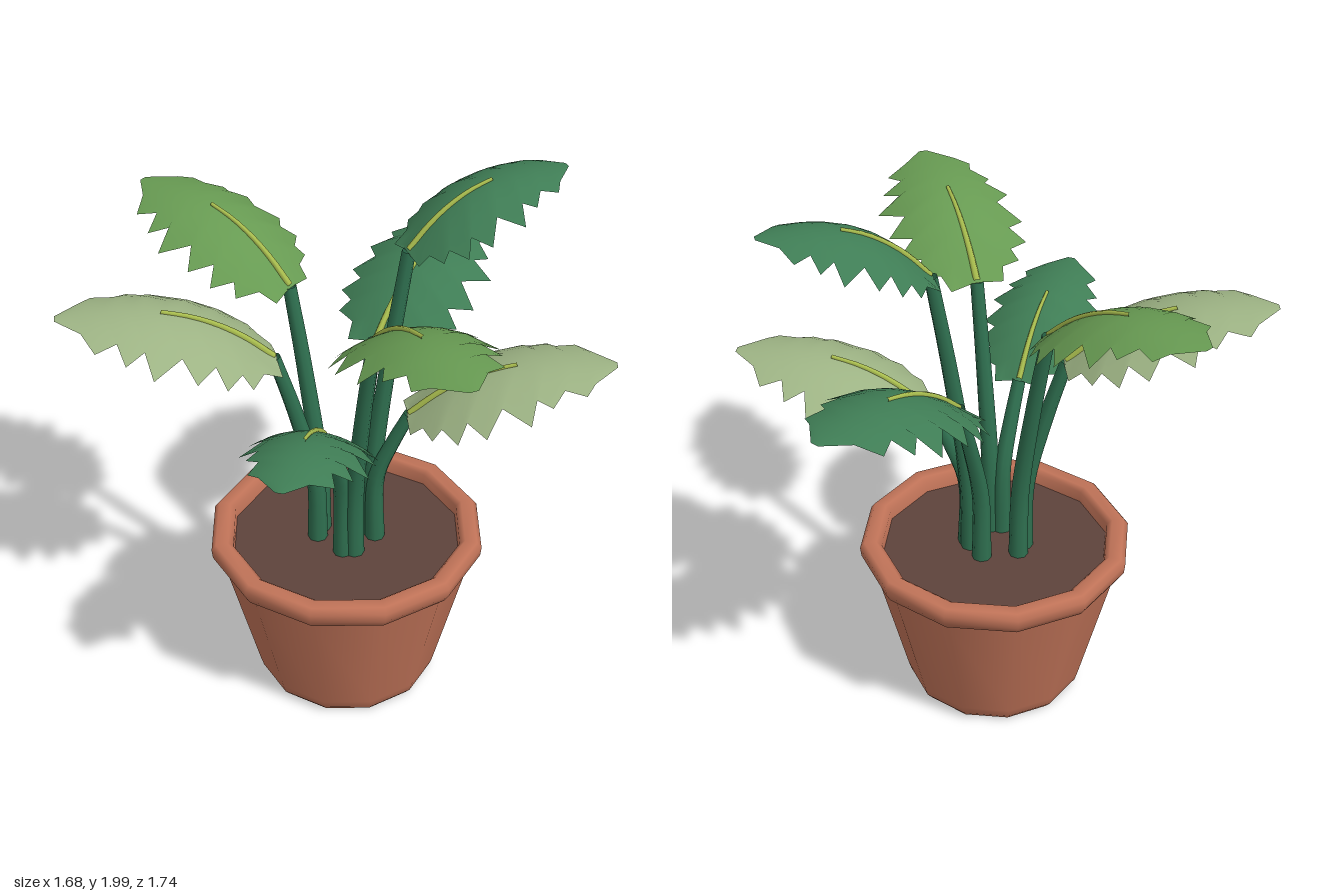
import * as THREE from 'three';

const mat = (name, color, side = THREE.FrontSide) => {
  const m = new THREE.MeshStandardMaterial({ color, side });
  m.name = name;
  return m;
};

const LEN = 0.67; // leaf length before scaling

// Height of the leaf surface: arches along its length, droops to both sides
function leafHeight(t, s) {
  const u = Math.max(t, 0) / LEN;
  return 0.245 * (1 - (1 - u) ** 3) - 0.03 * u * u - 1.5 * s * s;
}

// Jagged outline of each half as [along, sideways], alternating teeth and notches
const rightEdge = [[-0.01, 0.02], [-0.02, 0.1], [0.04, 0.12], [0.08, 0.2], [0.11, 0.17], [0.16, 0.24],
  [0.19, 0.18], [0.25, 0.25], [0.29, 0.18], [0.38, 0.255], [0.4, 0.17], [0.46, 0.215],
  [0.48, 0.14], [0.55, 0.17], [0.59, 0.09], [0.67, 0.015]];
const leftEdge = [[-0.01, 0.02], [0, 0.1], [0.04, 0.11], [0.07, 0.18], [0.1, 0.16], [0.15, 0.235],
  [0.18, 0.18], [0.24, 0.25], [0.29, 0.17], [0.38, 0.24], [0.4, 0.16], [0.45, 0.19],
  [0.49, 0.13], [0.56, 0.15], [0.59, 0.1], [0.67, 0.015]];

// Leaf blade: rows of points from the left edge across the midrib to the right edge
function leafGeometry() {
  const half = 5, cols = half * 2 + 1, rows = rightEdge.length;
  const pos = [], index = [];
  for (let i = 0; i < rows; i++) {
    const mid = -0.01 + (LEN + 0.01) * i / (rows - 1);
    for (let j = -half; j <= half; j++) {
      const f = Math.abs(j) / half;
      const [te, se] = (j < 0 ? leftEdge : rightEdge)[i];
      const t = THREE.MathUtils.lerp(mid, te, f), s = Math.sign(j) * se * f;
      pos.push(s, leafHeight(t, s), t);
      if (i < rows - 1 && j < half) {
        const a = i * cols + j + half, b = a + cols;
        index.push(a, b, a + 1, a + 1, b, b + 1);
      }
    }
  }
  const g = new THREE.BufferGeometry();
  g.setAttribute('position', new THREE.Float32BufferAttribute(pos, 3));
  g.setIndex(index);
  g.computeVertexNormals();
  return g;
}

// Tube whose radius shrinks from r0 to r1
function taperedTube(points, r0, r1, segments, sides) {
  const curve = new THREE.CatmullRomCurve3(points);
  const g = new THREE.TubeGeometry(curve, segments, r0, sides);
  const p = g.attributes.position, v = new THREE.Vector3();
  for (let k = 0; k < p.count; k++) {
    const u = Math.floor(k / (sides + 1)) / segments;
    const c = curve.getPointAt(u);
    v.fromBufferAttribute(p, k).sub(c).multiplyScalar(1 + (r1 / r0 - 1) * u).add(c);
    p.setXYZ(k, v.x, v.y, v.z);
  }
  return g;
}

export function createModel() {
  const model = new THREE.Group();
  const terracotta = mat('terracotta', 0xc07358);
  const soilMat = mat('soil', 0x5e433c);
  const stemMat = mat('stem green', 0x2f7050, THREE.DoubleSide);
  const ribMat = mat('rib yellow green', 0xa9bd4e);
  const dark = mat('dark leaf', 0x3f7d55, THREE.DoubleSide);
  const medium = mat('medium leaf', 0x679a52, THREE.DoubleSide);
  const pale = mat('pale leaf', 0x9db384, THREE.DoubleSide);

  const add = (parent, name, geometry, material) => {
    const mesh = new THREE.Mesh(geometry, material);
    mesh.name = name;
    parent.add(mesh);
    return mesh;
  };

  // Pot: twelve-sided body and thick rim, with soil inside
  const pot = new THREE.Group();
  pot.name = 'pot';
  pot.position.set(-0.07, 0, 0.01);
  model.add(pot);
  const lathe = (pts) => new THREE.LatheGeometry(pts.map(([r, y]) => new THREE.Vector2(r, y)), 12);
  add(pot, 'potBody', lathe([[0.315, 0], [0.335, 0.025], [0.345, 0.06], [0.465, 0.55], [0.47, 0.6]]), terracotta);
  add(pot, 'potRim', lathe([[0.465, 0.57], [0.49, 0.575], [0.508, 0.605], [0.512, 0.64],
    [0.495, 0.662], [0.45, 0.662], [0.43, 0.645], [0.425, 0.59]]), terracotta);
  add(pot, 'potBase', new THREE.CircleGeometry(0.316, 12, Math.PI / 2).rotateX(Math.PI / 2), terracotta);
  add(pot, 'soil', new THREE.CircleGeometry(0.45, 12, Math.PI / 2).rotateX(-Math.PI / 2), soilMat).position.y = 0.605;

  // Shared blade and midrib
  const blade = leafGeometry();
  const ribPoints = [0, 0.08, 0.16, 0.25, 0.345].map((t) => new THREE.Vector3(0, leafHeight(t, 0) + 0.004, t));
  const rib = taperedTube(ribPoints, 0.013, 0.007, 10, 6);

  // Each plant stalk: foot [x, z], leaf start [x, y, z], leaf tip [x, z], colour
  const stalks = [
    ['backLeaf', [-0.1, -0.09], [-0.11, 1.6, -0.22], [-0.2, -0.87], medium],
    ['frontLeaf', [-0.12, 0.1], [-0.16, 1.6, 0.23], [-0.4, 0.86], medium],
    ['backRightLeaf', [-0.15, -0.06], [-0.26, 1.41, -0.15], [-0.83, -0.6], pale],
    ['frontRightLeaf', [-0.15, 0.07], [-0.27, 1.2, 0.12], [-0.78, 0.42], dark],
    ['leftLeaf', [0.02, -0.02], [0.15, 1.33, -0.055], [0.83, -0.2], dark],
    ['tallLeftLeaf', [0.01, 0.06], [0.135, 1.77, 0.11], [0.66, 0.35], dark],
    ['frontLeftLeaf', [0.0, 0.09], [0.08, 1.16, 0.18], [0.57, 0.7], pale],
  ];
  for (const [name, [fx, fz], [x, y, z], [tx, tz], colour] of stalks) {
    const stalk = new THREE.Group();
    stalk.name = name;
    model.add(stalk);

    // Stem rises straight, then leans out to the leaf
    const bend = (f, h) => new THREE.Vector3(fx + (x - fx) * f, h, fz + (z - fz) * f);
    add(stalk, 'stem', taperedTube([bend(0, 0.59), bend(0.04, 0.88),
      bend(0.5, 0.88 + (y - 0.88) * 0.54), bend(1, y)], 0.037, 0.024, 14, 8), stemMat);

    const leaf = new THREE.Group();
    leaf.name = 'leaf';
    leaf.position.set(x, y, z);
    leaf.rotation.y = Math.atan2(tx - x, tz - z);
    const size = Math.hypot(tx - x, tz - z) / LEN;
    leaf.scale.set(size, 1, size);
    add(leaf, 'blade', blade, colour);
    add(leaf, 'midrib', rib, ribMat);
    stalk.add(leaf);
  }
  return model;
}
